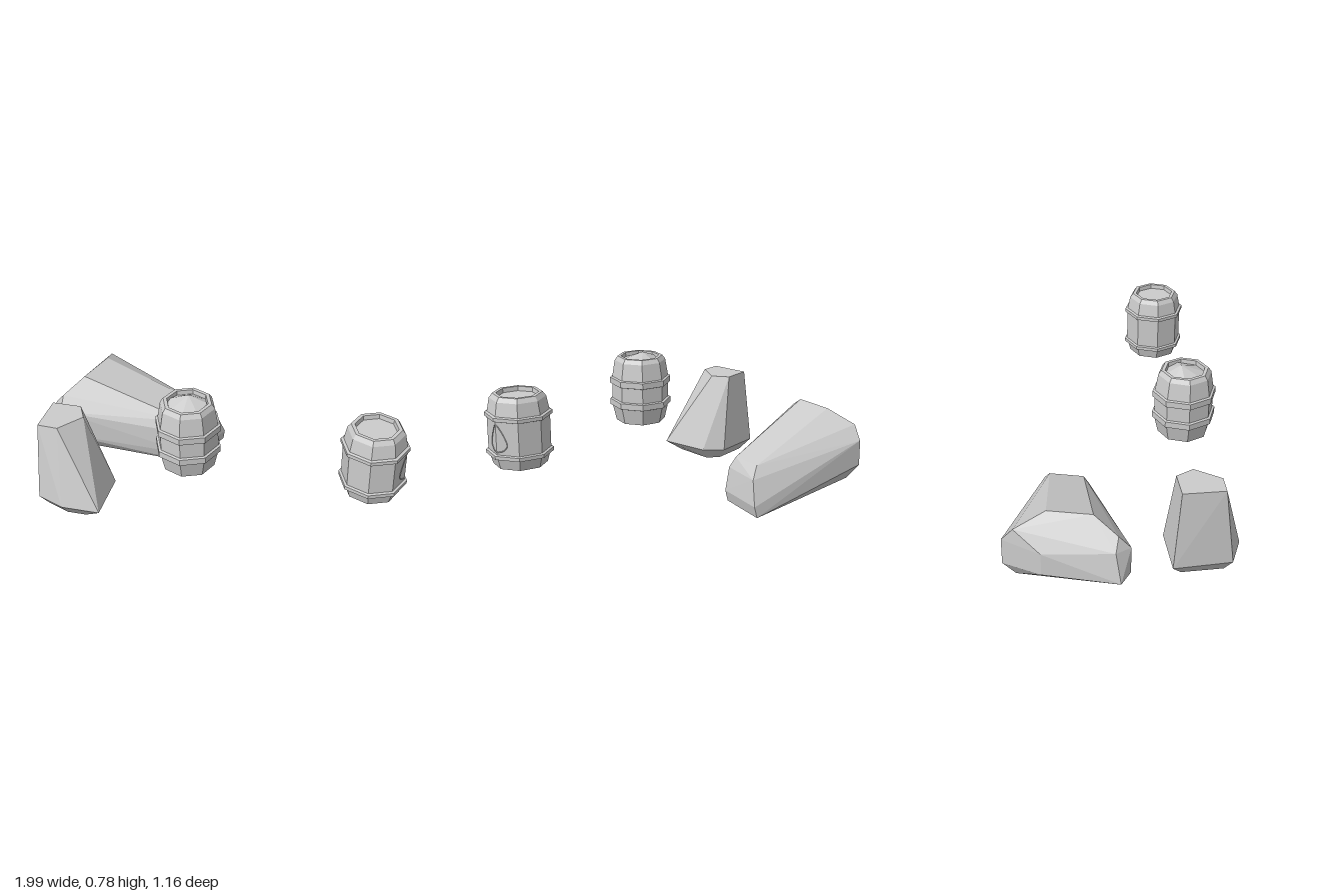
import * as THREE from 'three';
import { ConvexGeometry } from 'three/addons/geometries/ConvexGeometry.js';

const material = new THREE.MeshStandardMaterial({ color: 0xcccccc, flatShading: true });

function addMesh(parent, name, geometry) {
  const mesh = new THREE.Mesh(geometry, material);
  mesh.name = name;
  parent.add(mesh);
  return mesh;
}

// Faceted solid wrapped around its corner points
function hull(points) {
  return new ConvexGeometry(points.map((p) => new THREE.Vector3(...p)));
}

// Eight-sided barrel: staves with two raised hoops and a sunken lid
function barrel(name, x, hoops) {
  const group = new THREE.Group();
  group.name = name;
  group.position.set(x, 0.4, 0.41);
  const staveRadius = (y) => (y < 0.07 ? 0.132 + y * 0.29 : y > 0.26 ? 0.152 - (y - 0.26) * 0.2 : 0.152);
  const profile = [[0, 0], [0.132, 0]];
  for (const [low, high] of hoops) {
    profile.push([staveRadius(low), low], [0.164, low + 0.004], [0.164, high - 0.004], [staveRadius(high), high]);
  }
  profile.push([0.137, 0.335], [0.121, 0.357], [0.103, 0.357], [0.1, 0.335], [0, 0.335]);
  addMesh(group, 'barrelBody', new THREE.LatheGeometry(profile.map((p) => new THREE.Vector2(...p)), 8));
  return group;
}

export function createModel() {
  const model = new THREE.Group();
  model.name = 'barrelsAndRocks';

  // Long low boulder: a small right end and a wide, chamfered left end
  addMesh(model, 'largeRock', hull([
    [-0.09, 0, -0.37], [-0.2, 0, -0.1], [-0.08, 0.06, -0.36], [-0.19, 0.06, -0.09],
    [-0.12, 0.19, -0.32], [-0.21, 0.19, -0.1], [-0.18, 0.25, -0.3], [-0.23, 0.25, -0.13],
    [-0.76, 0.155, -0.585], [-0.76, 0.295, -0.585], [-0.79, 0.37, -0.53], [-0.76, 0.44, -0.37],
    [-0.82, 0.44, -0.155], [-0.91, 0.37, -0.05], [-0.91, 0.3, 0.01], [-0.91, 0.155, 0.01],
    [-1, 0.16, -0.05], [-0.96, 0.31, -0.07], [-0.88, 0.28, -0.41], [-0.88, 0.16, -0.41],
    [-0.87, 0.07, -0.05], [-0.74, 0.07, -0.52],
  ]));

  // Upright tapering rock: top face, widest ring, bottom face
  addMesh(model, 'uprightRock', hull([
    [-0.84, 0.53, 0.255], [-0.69, 0.53, 0.255], [-0.645, 0.53, 0.345], [-0.74, 0.53, 0.47], [-0.845, 0.53, 0.465],
    [-0.865, 0.115, 0.22], [-0.6, 0.115, 0.22], [-0.51, 0.12, 0.305],
    [-0.51, 0.12, 0.58], [-0.71, 0.12, 0.58], [-0.855, 0.115, 0.515],
    [-0.82, 0.053, 0.27], [-0.63, 0.053, 0.27], [-0.57, 0.053, 0.32],
    [-0.6, 0.053, 0.53], [-0.7, 0.053, 0.53], [-0.82, 0.053, 0.48],
  ]));

  // Barrel with a heaped top
  const heaped = barrel('heapedBarrel', -0.08, [[0.085, 0.125], [0.205, 0.245]]);
  const heap = [[0, 0.38, -0.02], [-0.09, 0.347, -0.02], [0.09, 0.347, -0.02]];
  for (let i = 0; i < 8; i++) {
    heap.push([0.1 * Math.sin((i * Math.PI) / 4), 0.334, 0.1 * Math.cos((i * Math.PI) / 4)]);
  }
  addMesh(heaped, 'heap', hull(heap));

  // Barrel with a drop outline folded around its left edge
  const marked = barrel('markedBarrel', 0.83, [[0.052, 0.078], [0.242, 0.268]]);
  const drop = [[0, 0.23], [0.02, 0.205], [0.045, 0.155], [0.052, 0.125], [0.033, 0.1], [0, 0.092],
    [-0.033, 0.1], [-0.052, 0.125], [-0.045, 0.155], [-0.02, 0.205]];
  const path = new THREE.CatmullRomCurve3(drop.map(([z, y]) =>
    new THREE.Vector3(0.152 - Math.abs(z) * Math.tan(Math.PI / 8), y, z)), true);
  addMesh(marked, 'dropOutline', new THREE.TubeGeometry(path, 40, 0.0025, 4, true));

  model.add(heaped, marked);
  return model;
}
